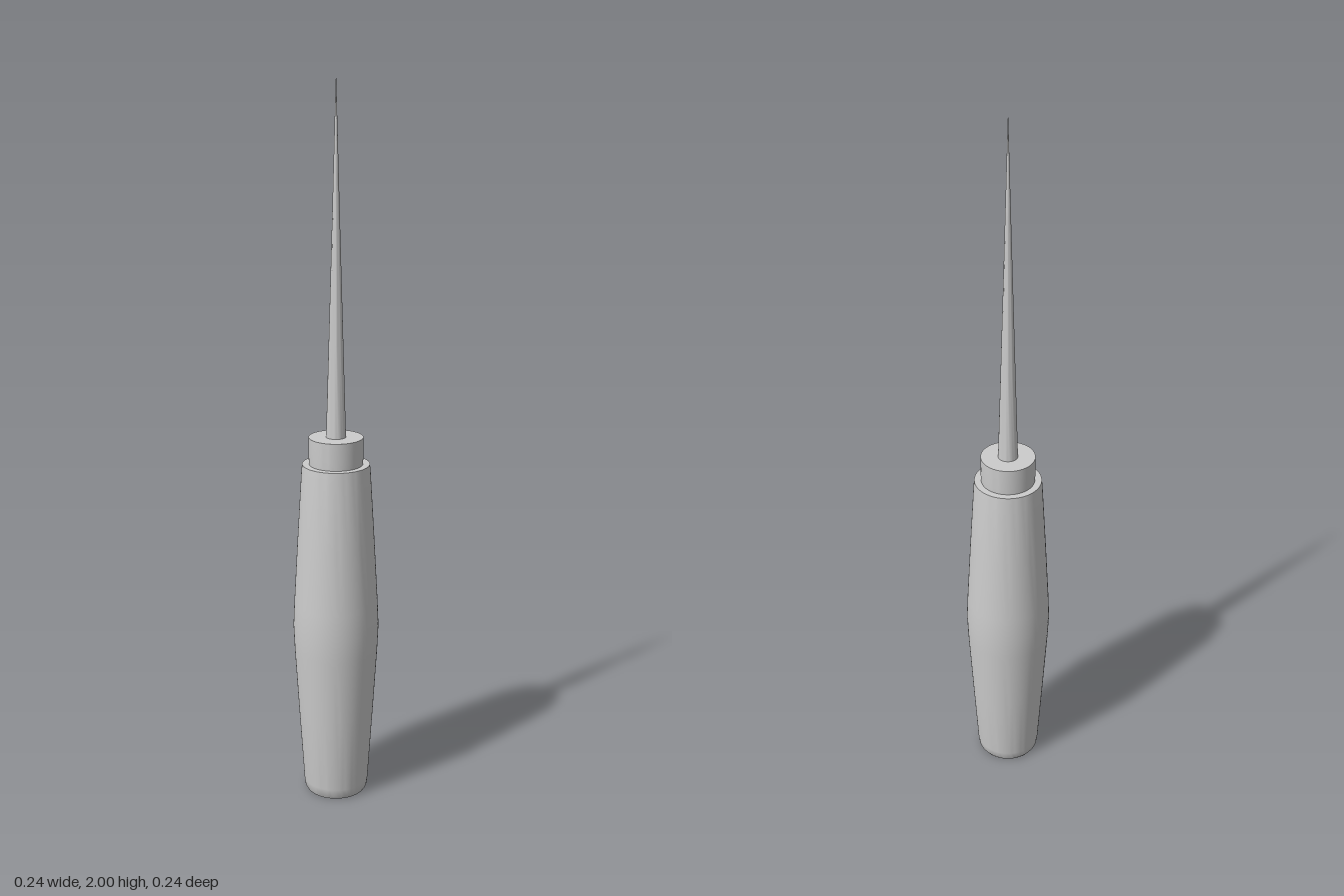
import * as THREE from 'three';
import { toCreasedNormals } from 'three/addons/utils/BufferGeometryUtils.js';

const material = new THREE.MeshStandardMaterial({ color: 0xcccccc });

// Turned part from [radius, height] pairs, listed bottom to top
function turned(name, profile, segments = 64) {
  const points = profile.map(([r, y]) => new THREE.Vector2(r, y));
  const geometry = toCreasedNormals(new THREE.LatheGeometry(points, segments), 0.6);
  const mesh = new THREE.Mesh(geometry, material);
  mesh.name = name;
  return mesh;
}

export function createModel() {
  const group = new THREE.Group();
  group.name = 'awl';

  // Grip swelling gently at mid height, with a softened butt end
  group.add(turned('handle', [
    [0, 0], [0.083, 0], [0.088, 0.008], [0.091, 0.03],
    [0.105, 0.25], [0.116, 0.43], [0.119, 0.5], [0.116, 0.57],
    [0.106, 0.75], [0.094, 0.95], [0.092, 0.97], [0, 0.97],
  ]));

  // Collar where the spike enters the handle
  group.add(turned('collar', [
    [0.073, 0.965], [0.074, 0.985], [0.074, 1.045], [0, 1.045],
  ]));

  // Long spike tapering to a point
  group.add(turned('spike', [
    [0.027, 1.04], [0.0195, 1.3], [0.011, 1.6], [0.0055, 1.8], [0.002, 1.93], [0, 2],
  ], 32));

  return group;
}
